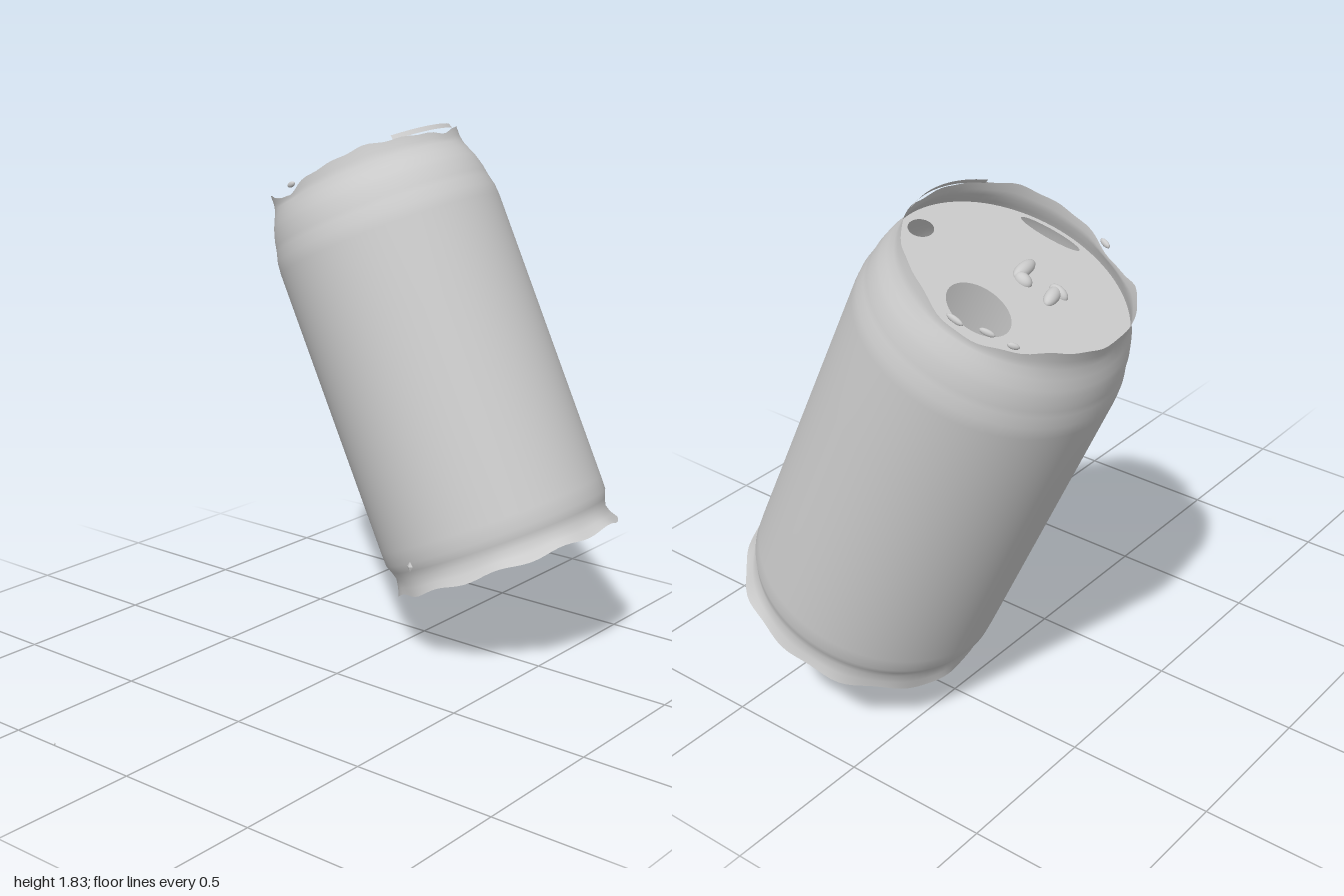
import * as THREE from 'three';
import { mergeVertices } from 'three/addons/utils/BufferGeometryUtils.js';

const grey = new THREE.MeshStandardMaterial({ color: 0xcccccc, side: THREE.DoubleSide });

function add(parent, geometry, name, x = 0, y = 0, z = 0) {
  const mesh = new THREE.Mesh(geometry, grey);
  mesh.name = name;
  mesh.position.set(x, y, z);
  parent.add(mesh);
  return mesh;
}

const bump = (a, centre, width) => Math.exp(-(((a - centre) / width) ** 2));

// Thin can wall, open below, with ragged top and bottom edges
function wallGeometry() {
  const profile = [
    [0.415, 0.178], [0.4, 0.205], [0.392, 0.235], [0.4, 0.262], [0.411, 0.29], [0.412, 0.34],
    [0.412, 0.7], [0.412, 1.1], [0.412, 1.39], [0.409, 1.43], [0.4, 1.465], [0.396, 1.485],
    [0.393, 1.505], [0.386, 1.53], [0.38, 1.55], [0.367, 1.58], [0.355, 1.61], [0.351, 1.635], [0.351, 1.667],
  ].map(([r, t]) => new THREE.Vector2(r, t));
  let geo = new THREE.LatheGeometry(profile, 96);
  const pos = geo.attributes.position;
  for (let i = 0; i < pos.count; i++) {
    const x = pos.getX(i), y = pos.getY(i), z = pos.getZ(i);
    const a = Math.atan2(x, z);
    if (y > 1.6) {
      const tear = 0.045 * bump(Math.abs(a), 1.85, 0.4) + 0.025 * bump(a, 0, 0.4)
        + 0.004 * Math.sin(9 * a) + 0.003 * Math.sin(17 * a);
      pos.setY(i, y - tear * (y - 1.6) / 0.067);
    } else if (y < 0.22) {
      const k = (0.22 - y) / 0.042;
      const flare = 1 + k * (0.025 * Math.cos(a) - 0.012 + 0.008 * Math.sin(7 * a) + 0.005 * Math.sin(13 * a));
      pos.setXYZ(i, x * flare, y + k * 0.006 * Math.sin(11 * a), z * flare);
    }
  }
  geo.deleteAttribute('uv');
  geo.deleteAttribute('normal');
  geo = mergeVertices(geo, 1e-4);
  geo.computeVertexNormals();
  return geo;
}

// Flat lid with the drinking hole and torn gaps near its edge
function lidGeometry() {
  const shape = new THREE.Shape().absarc(0, 0, 0.37, 0, Math.PI * 2);
  const hole = (x, y, rx, ry, turn) =>
    shape.holes.push(new THREE.Path().absellipse(x, y, rx, ry, 0, Math.PI * 2, true, turn));
  hole(0.15, 0.01, 0.09, 0.108, -0.25);
  hole(-0.315, -0.1, 0.024, 0.1, 0.3);
  hole(0.325, -0.01, 0.014, 0.09, 0);
  hole(0.05, -0.31, 0.045, 0.035, 0);
  return new THREE.ShapeGeometry(shape, 48).rotateX(-Math.PI / 2);
}

export function createModel() {
  const model = new THREE.Group();
  model.name = 'tornCan';

  // The can leans backwards
  const can = new THREE.Group();
  can.name = 'can';
  can.position.set(0.588, 0.173, 0.368);
  can.rotation.set(-0.44, 0, 0.018);
  model.add(can);

  add(can, wallGeometry(), 'canWall');
  add(can, lidGeometry(), 'lid', 0, 1.565, 0);

  // Worn remains of the pull tab: low ridges on the lid
  [[-0.1, -0.085, 0.05, 0.022, 0.3], [-0.11, 0.035, 0.055, 0.022, 0.15], [-0.07, 0.005, 0.022, 0.03, 0],
    [-0.13, -0.085, 0.018, 0.034, 0]].forEach(([x, z, rx, rz, turn]) => {
    const ridge = add(can, new THREE.SphereGeometry(1, 20, 12), 'pullTabRidge', x, 1.565, z);
    ridge.scale.set(rx, 0.022, rz);
    ridge.rotation.y = turn;
  });

  // Loose strip of rim over the front tear
  add(can, new THREE.CylinderGeometry(0.342, 0.348, 0.018, 24, 1, true, -0.55, 0.9), 'rimStrip', 0, 1.667, 0);

  // Small rim fragments beside the side tears
  [[0.345, 1.655, -0.05, 0.028], [0.32, 1.674, -0.14, 0.024], [0.285, 1.668, -0.21, 0.018],
    [-0.34, 1.65, -0.06, 0.02]].forEach(([x, y, z, length]) => {
    const bit = add(can, new THREE.SphereGeometry(1, 12, 8), 'rimFragment', x, y, z);
    bit.scale.set(0.008, 0.01, length);
    bit.rotation.y = Math.atan2(x, z) + Math.PI / 2;
  });

  // Stray flakes
  add(model, new THREE.OctahedronGeometry(0.004), 'strayFlake', -0.996, 0.004, -0.33);
  add(model, new THREE.OctahedronGeometry(0.012), 'strayFlake', 0.12, 0.41, 0.22).scale.set(0.6, 1.5, 1);

  return model;
}
